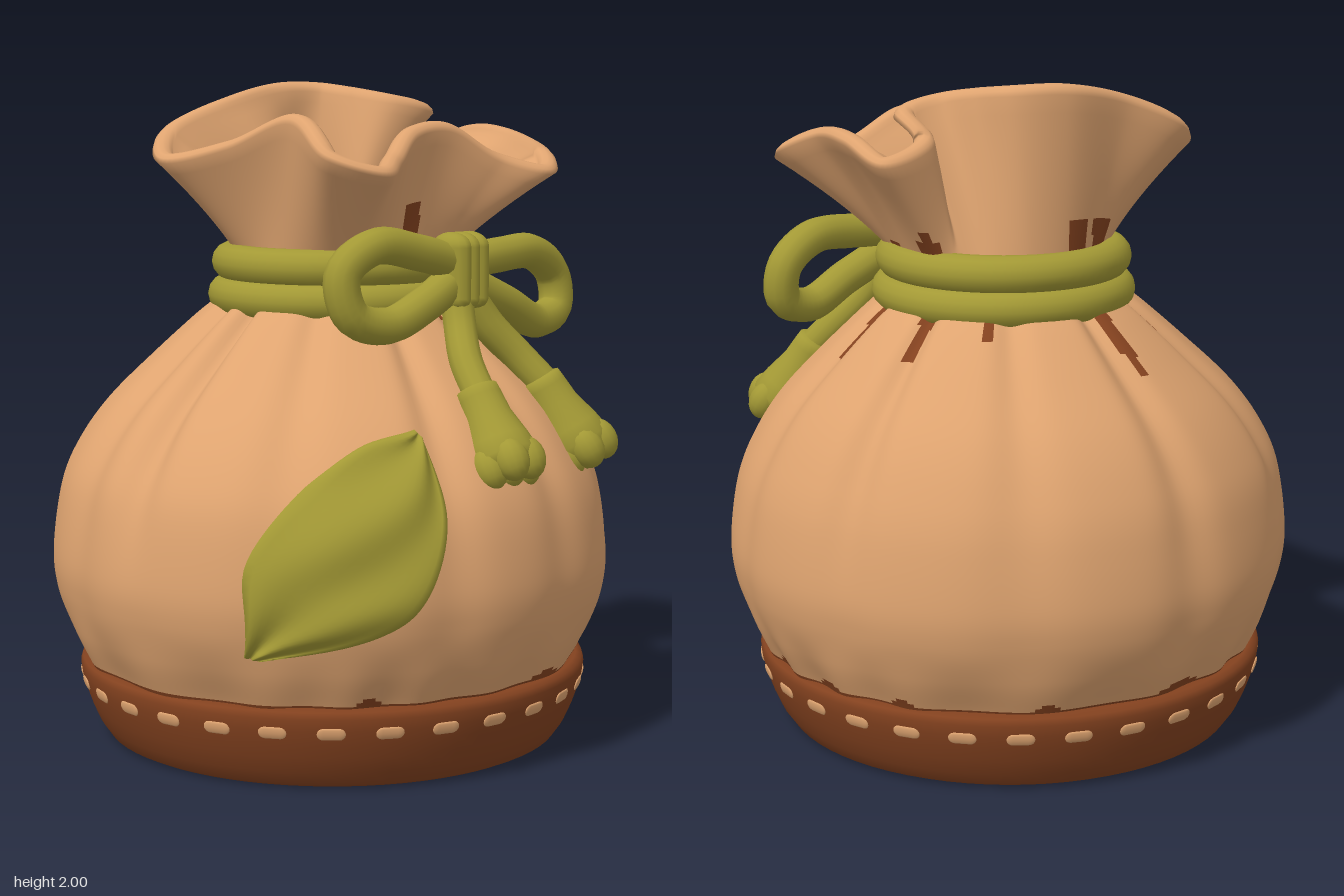
import * as THREE from 'three';

const mat = (name, color) => Object.assign(new THREE.MeshStandardMaterial({ color }), { name });
const V = (x, y, z) => new THREE.Vector3(x, y, z);
const lerp = THREE.MathUtils.lerp;
const smooth = THREE.MathUtils.smoothstep;
const RAD = Math.PI / 180;
const angleGap = (a, b) => Math.abs(Math.atan2(Math.sin(a - b), Math.cos(a - b)));
const bell = (gap, width) => Math.exp(-((gap / width) ** 2));

// Surface from a rule: point(row, col) gives a Vector3, pick(point, row) a material index
function gridMesh(name, rows, cols, wrap, point, materials, pick = () => 0) {
  const pos = [], pts = [], buckets = materials.map(() => []);
  const stride = wrap ? cols : cols + 1;
  for (let i = 0; i <= rows; i++) {
    for (let j = 0; j < stride; j++) {
      const p = point(i, j);
      pts.push(p);
      pos.push(p.x, p.y, p.z);
    }
  }
  for (let i = 0; i < rows; i++) {
    for (let j = 0; j < cols; j++) {
      const k = (j + 1) % stride;
      const a = i * stride + j, b = i * stride + k, c = a + stride, d = b + stride;
      const mid = pts[a].clone().add(pts[d]).multiplyScalar(0.5);
      buckets[pick(mid, i)].push(a, c, b, b, c, d);
    }
  }
  const g = new THREE.BufferGeometry();
  g.setAttribute('position', new THREE.Float32BufferAttribute(pos, 3));
  g.setIndex(buckets.flat());
  let start = 0;
  buckets.forEach((b, m) => { g.addGroup(start, b.length, m); start += b.length; });
  g.computeVertexNormals();
  const mesh = new THREE.Mesh(g, materials);
  mesh.name = name;
  return mesh;
}

// Sack silhouette: radius against height, with pleats running down from the neck
const profile = new THREE.SplineCurve([
  [0.74, 0.2], [0.77, 0.26], [0.82, 0.36], [0.859, 0.48], [0.867, 0.6], [0.838, 0.78], [0.782, 0.91],
  [0.69, 1.04], [0.55, 1.18], [0.43, 1.29], [0.345, 1.36], [0.31, 1.42], [0.3, 1.48],
].map(([r, y]) => new THREE.Vector2(r, y))).getPoints(120);
const creases = [-165, -128, -90, -54, -17, 17, 48, 80, 108, 142, 176].map(a => a * RAD);
const neck = V(0.06, 1.44, -0.035);

function bodyRadius(theta, y) {
  const k = Math.max(1, profile.findIndex(p => p.y >= y));
  const a = profile[k - 1], b = profile[k];
  const r = lerp(a.x, b.x, THREE.MathUtils.clamp((y - a.y) / (b.y - a.y), 0, 1));
  let dent = -0.3;
  creases.forEach((c, i) => {
    const w = (i % 3 === 0 ? 0.1 : 0.075) + 0.04 * (1 - smooth(y, 0.4, 1.2));
    const deep = i === 10 ? lerp(0.5, 1.7, smooth(y, 0.5, 1)) : i % 2 ? 0.8 : 1.1;
    dent += deep * bell(angleGap(theta, c), w);
  });
  const pucker = 0.008 * Math.sin(theta * 17 + 2 * Math.sin(theta * 3)) * (1 - smooth(y, 0.25, 0.45));
  return r - dent * lerp(0.016, 0.036, smooth(y, 0.5, 1.15)) * smooth(y, 0.24, 0.5) + pucker;
}
const axisX = y => 0.045 * smooth(y, 0.8, 1.35);
const axisZ = y => -0.008 - 0.03 * smooth(y, 0.7, 1.35);
function bodyPoint(theta, y, lift = 0) {
  const r = bodyRadius(theta, y) + lift;
  return V(axisX(y) + r * Math.cos(theta), y, axisZ(y) + 0.97 * r * Math.sin(theta));
}

// Mouth rim: x, y, z and the matching angle on the neck
const rimPoints = [
  [-0.455, 1.79, -0.27, -155], [-0.38, 1.86, -0.365, -138], [-0.17, 1.95, -0.335, -118], [0.06, 1.995, -0.34, -92],
  [0.2, 1.995, -0.275, -70], [0.245, 1.98, -0.15, -52], [0.29, 1.96, -0.05, -42], [0.385, 1.93, -0.03, -34],
  [0.4, 1.86, -0.14, -26], [0.58, 1.81, -0.155, -16], [0.585, 1.86, 0.02, 4], [0.565, 1.86, 0.18, 22],
  [0.6, 1.8, 0.33, 36], [0.49, 1.75, 0.435, 50], [0.34, 1.79, 0.36, 66], [0.18, 1.88, 0.315, 82],
  [0.03, 1.87, 0.32, 98], [-0.1, 1.8, 0.38, 114], [-0.23, 1.765, 0.455, 130], [-0.36, 1.81, 0.36, 145],
  [-0.315, 1.91, 0.15, 172], [-0.37, 1.83, -0.07, 190],
];
const rim = new THREE.CatmullRomCurve3(rimPoints.map(p => V(p[0], p[1], p[2])), true);
const neckRing = new THREE.CatmullRomCurve3(rimPoints.map(p =>
  V(neck.x + 0.3 * Math.cos(p[3] * RAD), neck.y, neck.z + 0.3 * Math.sin(p[3] * RAD))), true);
const starArms = [-151, -80, 36, 141];

function mouthPoint(row, t) {
  const R = rim.getPoint(t), N = neckRing.getPoint(t), T = rim.getTangent(t);
  const inward = V(-T.z, 0, T.x).normalize();
  const lip = (a) => R.clone().addScaledVector(inward, 0.02 - 0.032 * Math.cos(a))
    .add(V(0, 0.03 * Math.sin(a) - 0.03, 0));
  if (row <= 10) { // outside of the ruffle
    const s = row / 10, e = s * (0.75 + 0.25 * s), top = lip(0);
    return V(lerp(N.x, top.x, e), lerp(N.y, top.y, s), lerp(N.z, top.z, e));
  }
  if (row <= 16) return lip((row - 10) / 6 * Math.PI);
  // inside: walls gather to a star-shaped opening
  const a = Math.atan2(N.z - neck.z, N.x - neck.x);
  const reach = Math.max(...starArms.map(d => bell(angleGap(a, d * RAD), 0.36)));
  const r = 0.075 + 0.2 * reach;
  const star = V(0.07 + r * Math.cos(a), 1.54, r * Math.sin(a) - 0.02);
  if (row <= 26) {
    const s = (row - 16) / 10;
    return lip(Math.PI).lerp(star, s).add(V(0, 0.03 * Math.sin(s * Math.PI), 0));
  }
  return star.lerp(V(0.07, 1.48, -0.02), (row - 26) / 4);
}

export function createModel() {
  const root = new THREE.Group();
  root.name = 'tiedSack';
  const cloth = mat('tanCloth', 0xdfa470);
  const brown = mat('brownLeather', 0x84421f);
  const green = mat('oliveGreen', 0xa39935);
  const add = (name, geometry, material, parent = root) => {
    const m = new THREE.Mesh(geometry, material);
    m.name = name;
    parent.add(m);
    return m;
  };

  // Sack body, with dark stains in a few creases (angle, lowest point) and along the hem (angle, width)
  const stains = [[16, 1.18], [-16, 1.21], [-97, 1.17], [-126, 1.19], [-45, 1.28], [80, 1.29], [176, 1.3]];
  const hemStains = [[77, 0.07], [40, 0.04], [11, 0.04], [-8, 0.05], [-28, 0.04], [-60, 0.04], [-92, 0.1], [125, 0.04]];
  root.add(gridMesh('sackBody', 110, 260, true,
    (i, j) => bodyPoint(j / 260 * Math.PI * 2, 0.2 + i / 110 * 1.28), [cloth, brown], p => {
      const a = Math.atan2((p.z - axisZ(p.y)) / 0.97, p.x - axisX(p.y));
      if (p.y < 0.256 + 0.03 * Math.max(...hemStains.map(([d, w]) => bell(angleGap(a, d * RAD), w)))) return 1;
      return stains.some(([d, y]) => p.y > y && angleGap(a, d * RAD) < 0.025 + 0.25 * (p.y - y)) ? 1 : 0;
    }));

  // Ruffled mouth with a dark star-shaped opening and stained folds outside
  const marks = [[94, 1.64], [10, 1.535], [-20, 1.56], [-100, 1.58], [-119, 1.6]];
  root.add(gridMesh('sackMouth', 30, 260, true, (i, j) => mouthPoint(i, j / 260), [cloth, brown], (p, row) => {
    const a = Math.atan2(p.z, p.x - 0.07);
    if (row < 10) return marks.some(([d, y]) => p.y < y && angleGap(a, d * RAD) < 0.11) ? 1 : 0;
    return row >= 25 ? 1 : 0;
  }));

  // Leather base with a ring of stitches
  const baseProfile = [[0, 0], [0.675, 0], [0.7, 0.012], [0.73, 0.055], [0.752, 0.105], [0.768, 0.15], [0.779, 0.19],
    [0.784, 0.225], [0.778, 0.245], [0.76, 0.252], [0.7, 0.25]].map(([r, y]) => new THREE.Vector2(r, y));
  const base = new THREE.Group();
  base.name = 'base';
  base.position.z = -0.01;
  root.add(base);
  add('leatherBase', new THREE.LatheGeometry(baseProfile, 72), brown, base);
  for (let i = 0; i < 29; i++) {
    const a = (i + 0.5) / 29 * Math.PI * 2;
    const s = add('stitch', new THREE.CapsuleGeometry(0.019, 0.045, 4, 8), cloth, base);
    s.geometry.rotateZ(Math.PI / 2).scale(1, 1, 0.26);
    s.position.set(0.778 * Math.sin(a), 0.183, 0.778 * Math.cos(a));
    s.rotation.set(0.25, a, 0, 'YXZ');
  }

  // Leaf-shaped patch laid over the body
  const edge = pts => new THREE.SplineCurve(pts.map(p => new THREE.Vector2(...p)));
  const upper = edge([[-0.25, 1.03], [-0.43, 0.99], [-0.6, 0.87], [-0.735, 0.67], [-0.72, 0.4]]);
  const lower = edge([[-0.245, 1.02], [-0.275, 0.79], [-0.37, 0.58], [-0.48, 0.48], [-0.71, 0.4]]);
  root.add(gridMesh('leafPatch', 36, 18, false, (i, j) => {
    const w = THREE.MathUtils.clamp((j - 1) / 16, 0, 1), s = i / 36;
    const p = upper.getPoint(s).lerp(lower.getPoint(s), w);
    let a = 2.4;
    for (let k = 0; k < 4; k++) {
      const x = p.x - axisX(p.y), r = bodyRadius(a, p.y);
      a = Math.atan2(Math.sqrt(Math.max(0.01, r * r - x * x)), x);
    }
    const border = j === 0 || j === 18 || i === 0 || i === 36;
    return bodyPoint(a, p.y, border ? -0.02 : 0.022 + 0.009 * Math.sin(w * 11 + s * 8));
  }, [green]));

  // Cord wound twice round the neck
  for (const [y, r] of [[1.355, 0.342], [1.455, 0.33]]) {
    const ring = add('neckCord', new THREE.TorusGeometry(r, 0.057, 14, 64), green);
    ring.rotation.x = Math.PI / 2;
    ring.position.set(0.045, y, -0.035);
  }

  // Bow loops and tails
  const cord = (name, pts, r) => add(name,
    new THREE.TubeGeometry(new THREE.CatmullRomCurve3(pts.map(p => V(...p))), 48, r, 12), green);
  cord('bowLoopRight', [[0.09, 1.47, 0.43], [-0.07, 1.51, 0.43], [-0.24, 1.535, 0.42], [-0.345, 1.46, 0.4],
    [-0.32, 1.34, 0.41], [-0.2, 1.305, 0.43], [-0.05, 1.36, 0.44], [0.09, 1.43, 0.43]], 0.054);
  cord('bowLoopLeft', [[0.11, 1.47, 0.43], [0.27, 1.485, 0.43], [0.43, 1.485, 0.42], [0.54, 1.41, 0.41],
    [0.54, 1.31, 0.42], [0.44, 1.275, 0.43], [0.29, 1.34, 0.44], [0.11, 1.42, 0.43]], 0.054);
  cord('tailRight', [[0.09, 1.4, 0.43], [0.065, 1.29, 0.47], [0.02, 1.19, 0.54], [-0.01, 1.08, 0.64]], 0.05);
  cord('tailLeft', [[0.13, 1.4, 0.43], [0.19, 1.29, 0.46], [0.27, 1.19, 0.51], [0.34, 1.08, 0.59]], 0.05);

  // Knot
  for (const x of [0.065, 0.102, 0.139]) {
    const k = add('knotStrand', new THREE.CapsuleGeometry(0.044, 0.15, 6, 14), green);
    k.position.set(x, 1.445, 0.435);
    k.scale.z = 1.6;
  }

  // Knobbly cord ends
  const sleeve = [[0, -0.29], [0.09, -0.27], [0.106, -0.22], [0.095, -0.17], [0.072, -0.09], [0.066, -0.03], [0.062, 0],
    [0.03, 0.01]].map(([r, y]) => new THREE.Vector2(r, y));
  for (const [name, from, to] of [
    ['tasselRight', V(-0.01, 1.12, 0.61), V(-0.02, 0.9, 0.745)],
    ['tasselLeft', V(0.32, 1.12, 0.56), V(0.395, 0.9, 0.665)]]) {
    const t = new THREE.Group();
    t.name = name;
    t.position.copy(from);
    t.quaternion.setFromUnitVectors(V(0, -1, 0), to.clone().sub(from).normalize());
    root.add(t);
    add('sleeve', new THREE.LatheGeometry(sleeve, 20), green, t);
    for (let i = 0; i < 6; i++) {
      const a = i / 6 * Math.PI * 2;
      const knob = add('knob', new THREE.SphereGeometry(0.052, 14, 10), green, t);
      knob.position.set(0.068 * Math.cos(a), -0.245, 0.068 * Math.sin(a));
      knob.scale.y = 1.25;
    }
    add('knob', new THREE.SphereGeometry(0.05, 14, 10), green, t).position.y = -0.26;
  }
  return root;
}
